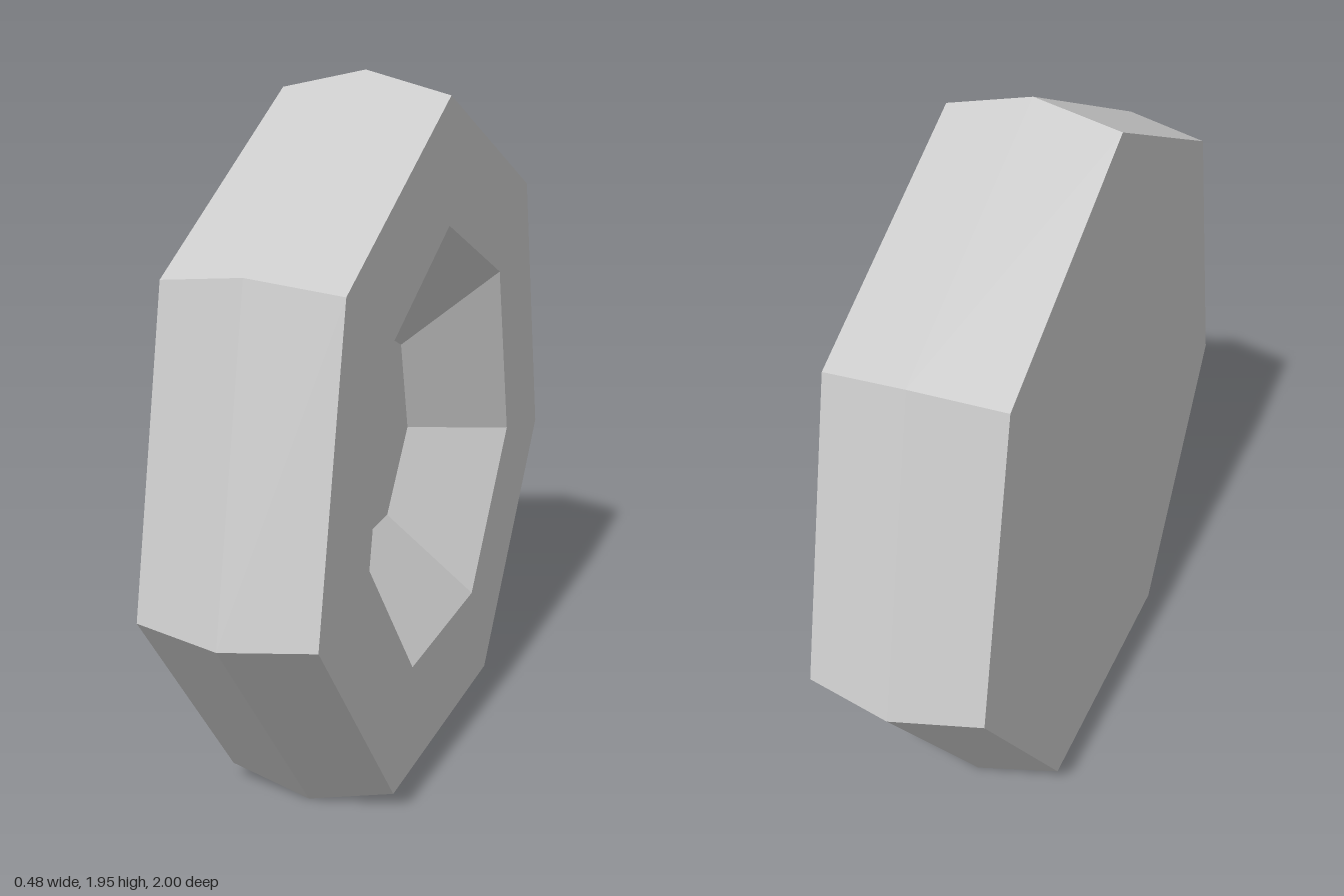
import * as THREE from 'three';

const SIDES = 7;
const RADIUS = 1 / Math.sin((4 * Math.PI) / SIDES); // widest corners reach z = ±1
const CENTRE_Y = RADIUS * Math.cos(Math.PI / SIDES); // rests on one flat side

export function createModel() {
  const group = new THREE.Group();
  group.name = 'heptagonalDish';

  // Half section: [radius, distance along the axis], from back to recess floor
  const profile = [
    [0, -0.24],     // flat back
    [0.969, -0.24],
    [RADIUS, 0],    // ridge around the rim
    [0.969, 0.24],
    [0.622, 0.24],  // recess edge
    [0.323, 0.014], // recess floor
    [0, 0.014],
  ].map(([r, h]) => new THREE.Vector2(r, h));

  // Seven-sided turn about the x axis, one corner pointing up
  const geometry = new THREE.LatheGeometry(profile, SIDES, -Math.PI / 2);
  geometry.rotateZ(-Math.PI / 2);
  geometry.translate(0, CENTRE_Y, 0);

  const body = new THREE.Mesh(
    geometry,
    new THREE.MeshStandardMaterial({ color: 0xcccccc, flatShading: true })
  );
  body.name = 'dishBody';
  group.add(body);
  return group;
}
